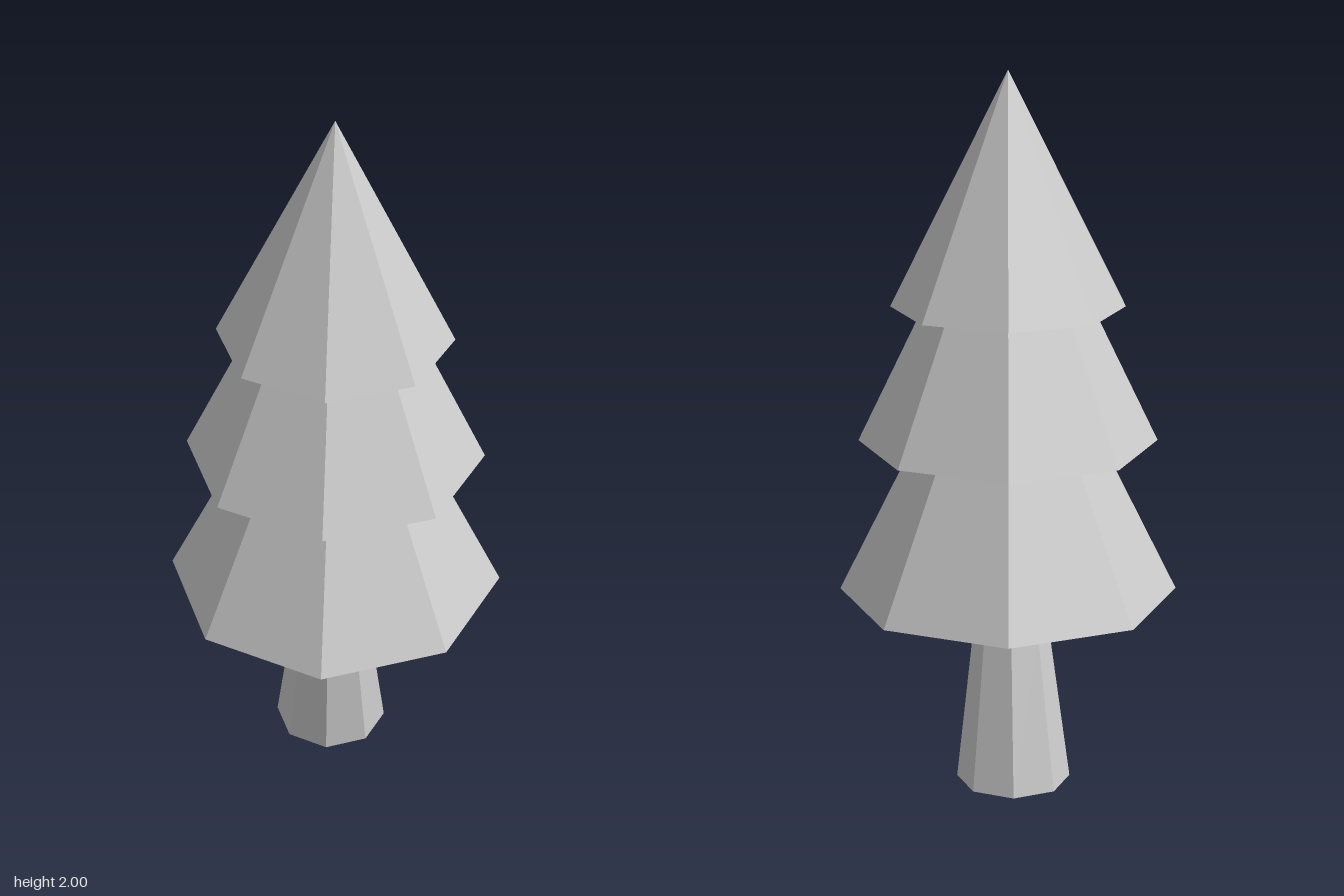
import * as THREE from 'three';

const SIDES = 8;

export function createModel() {
  const tree = new THREE.Group();
  tree.name = 'pineTree';
  const material = new THREE.MeshStandardMaterial({ color: 0xcccccc, flatShading: true });

  const add = (name, geometry) => {
    const mesh = new THREE.Mesh(geometry, material);
    mesh.name = name;
    tree.add(mesh);
    return mesh;
  };

  // Foliage: three stacked cones, each tip hidden inside the one above
  const tiers = [
    { name: 'lowerFoliage', radius: 0.468, base: 0.56, tip: 1.5 },
    { name: 'middleFoliage', radius: 0.41, base: 0.99, tip: 1.835 },
    { name: 'upperFoliage', radius: 0.318, base: 1.365, tip: 2 },
  ];
  for (const { name, radius, base, tip } of tiers) {
    add(name, new THREE.ConeGeometry(radius, tip - base, SIDES)).position.y = (base + tip) / 2;
  }

  // Trunk: a leaning, tapered prism that straightens under the foliage
  const rings = [
    { x: -0.015, y: 0, z: -0.013, r: 0.16 },
    { x: -0.009, y: 0.43, z: 0.042, r: 0.106 },
    { x: -0.005, y: 0.6, z: 0.046, r: 0.103 },
  ];
  const trunk = new THREE.CylinderGeometry(1, 1, 2, SIDES, 2);
  const p = trunk.attributes.position;
  for (let i = 0; i < p.count; i++) {
    const ring = rings[Math.round(p.getY(i) + 1)];
    p.setXYZ(i, ring.x + p.getX(i) * ring.r, ring.y, ring.z + p.getZ(i) * ring.r);
  }
  trunk.computeVertexNormals();
  add('trunk', trunk);

  return tree;
}
